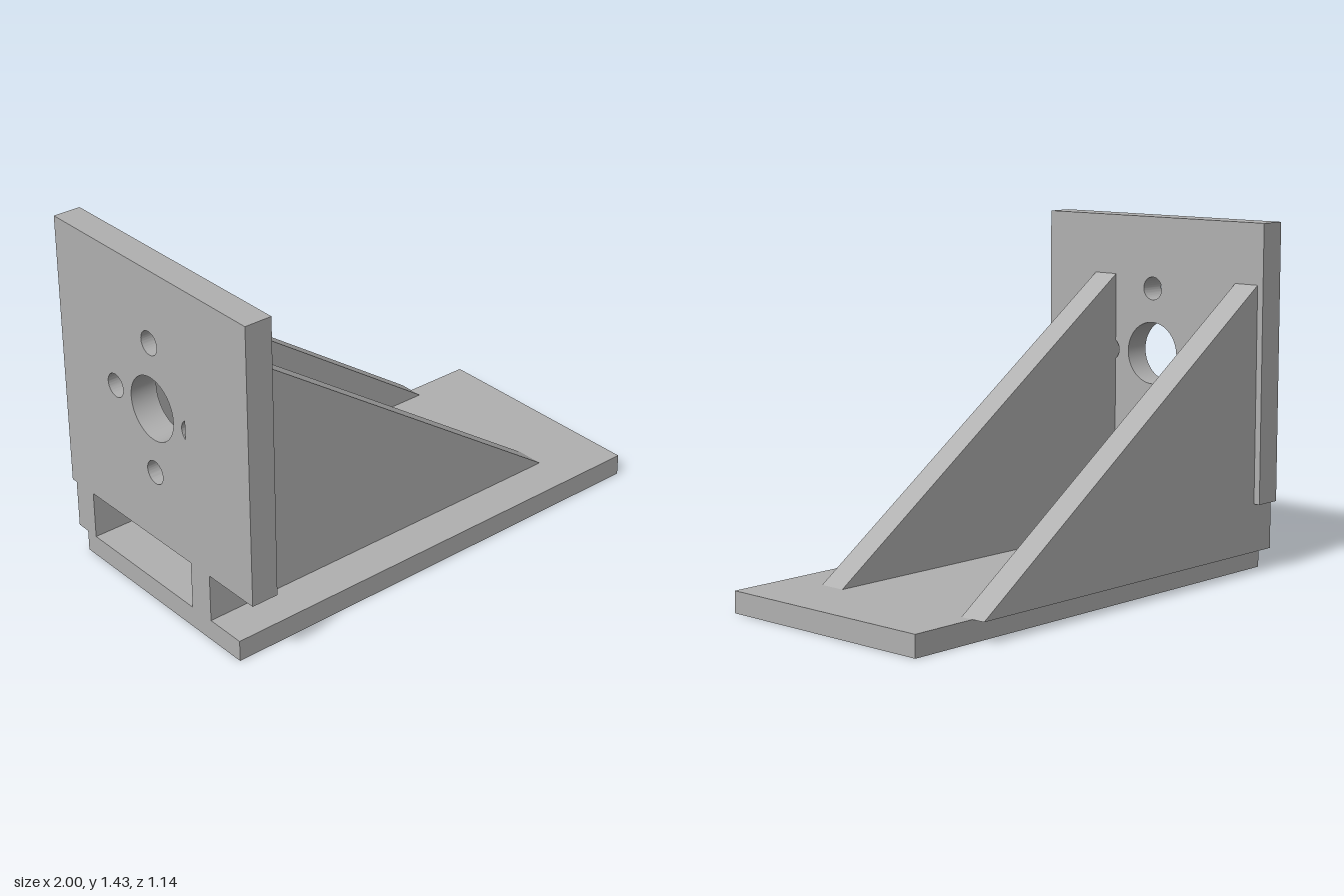
import * as THREE from 'three';
import { toCreasedNormals } from 'three/addons/utils/BufferGeometryUtils.js';

export function createModel() {
  const model = new THREE.Group();
  model.name = 'mountingBracket';

  const grey = new THREE.MeshStandardMaterial({ color: 0xb0b0b0 });
  grey.name = 'plain grey';

  const add = (name, geometry) => {
    const mesh = new THREE.Mesh(geometry, grey);
    mesh.name = name;
    model.add(mesh);
    return mesh;
  };
  const polygon = (points) => new THREE.Shape(points.map(([x, y]) => new THREE.Vector2(x, y)));

  const baseTop = 0.088;
  const plateInner = -0.886;
  const thickness = plateInner + 1;

  // Flat base slab
  add('basePlate', new THREE.BoxGeometry(2, baseTop, 0.97)).position.y = baseTop / 2;

  // Upright plate with a large bore and four bolt holes
  const plate = polygon([[-0.57, 0.288], [0.57, 0.288], [0.57, 1.432], [-0.57, 1.432]]);
  const centreY = 0.86;
  const boltOffset = 0.228;
  const boltRise = 0.2725;
  const holes = [
    [0, 0, 0.13],
    [boltOffset, 0, 0.048], [-boltOffset, 0, 0.048],
    [0, boltRise, 0.048], [0, -boltRise, 0.048],
  ];
  for (const [x, y, radius] of holes) {
    plate.holes.push(new THREE.Path().absarc(x, centreY + y, radius, 0, Math.PI * 2, true));
  }
  const plateGeometry = new THREE.ExtrudeGeometry(plate, {
    depth: thickness, bevelEnabled: false, curveSegments: 32,
  });
  plateGeometry.rotateY(Math.PI / 2).translate(-1, 0, 0);
  add('uprightPlate', toCreasedNormals(plateGeometry, 0.6));

  // Triangular gussets, running through the upright plate to its back face
  const gusset = polygon([[-1, baseTop], [0.71, baseTop], [plateInner, 1.182], [-1, 1.182]]);
  const gussetGeometry = new THREE.ExtrudeGeometry(gusset, { depth: 0.113, bevelEnabled: false });
  add('frontGusset', gussetGeometry).position.z = 0.2;
  add('backGusset', gussetGeometry).position.z = -0.543;

  return model;
}
